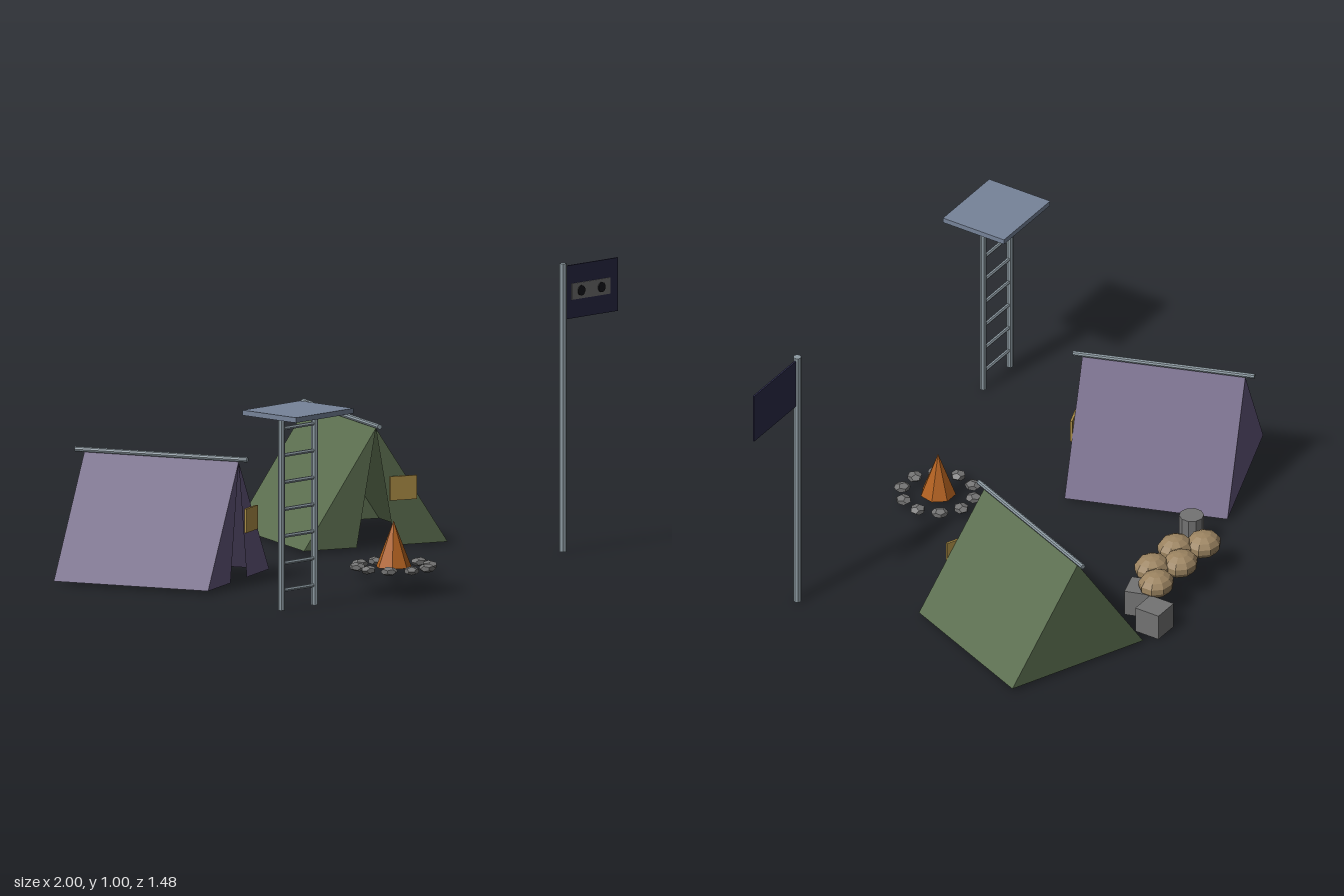
import * as THREE from 'three';

const mat = (name, color, extra = {}) => {
  const m = new THREE.MeshStandardMaterial({ color, flatShading: true, ...extra });
  m.name = name;
  return m;
};

export function createModel() {
  const model = new THREE.Group();
  model.name = 'campsite';
  const purple = mat('purple canvas', 0x62557a, { side: THREE.DoubleSide });
  const green = mat('green canvas', 0x5c6f50, { side: THREE.DoubleSide });
  const steel = mat('steel', 0x8d9aa2);
  const slate = mat('slate blue', 0x768399);
  const stone = mat('stone grey', 0x737373);
  const sand = mat('sand cloth', 0x9c8461);
  const yellow = mat('ochre', 0xab8d46);
  const orange = mat('flame orange', 0xb0601f);
  const navy = mat('navy cloth', 0x2b2a48);
  const black = mat('black', 0x17171c);

  const add = (parent, name, geo, material, x = 0, y = 0, z = 0) => {
    const mesh = new THREE.Mesh(geo, material);
    mesh.name = name;
    mesh.position.set(x, y, z);
    parent.add(mesh);
    return mesh;
  };
  const group = (name, x = 0, z = 0, turn = 0) => {
    const g = new THREE.Group();
    g.name = name;
    g.position.set(x, 0, z);
    g.rotation.y = turn;
    model.add(g);
    return g;
  };
  const box = (w, h, d) => new THREE.BoxGeometry(w, h, d);
  const rod = (r, h, sides = 8) => new THREE.CylinderGeometry(r, r, h, sides);

  // Flat panel through three or four corners
  const panel = (...pts) => {
    const order = pts.length === 4 ? [0, 1, 2, 0, 2, 3] : [0, 1, 2];
    const geo = new THREE.BufferGeometry();
    geo.setAttribute('position', new THREE.Float32BufferAttribute(order.flatMap((i) => pts[i]), 3));
    geo.computeVertexNormals();
    return geo;
  };

  // Ridge tents with a slit door and a patch on the front
  const W = 0.27, D = 0.287, Y0 = 0.01, Y1 = 0.42, GAP = 0.072;
  const tent = (name, canvas, x, z, turn) => {
    const g = group(name, x, z, turn);
    const front = [0, Y1, D], back = [0, Y1, -D];
    add(g, 'leftWall', panel([W, Y0, D], [W, Y0, -D], back, front), canvas);
    add(g, 'rightWall', panel([-W, Y0, -D], [-W, Y0, D], front, back), canvas);
    add(g, 'backWall', panel([W, Y0, -D], [-W, Y0, -D], back), canvas);
    add(g, 'leftFlap', panel([GAP, Y0, D], [W, Y0, D], front), canvas);
    add(g, 'rightFlap', panel([-W, Y0, D], [-GAP, Y0, D], front), canvas);
    add(g, 'ridgePole', rod(0.009, 0.64), steel, 0, 0.429, 0).rotation.x = Math.PI / 2;
    add(g, 'patch', box(0.1, 0.083, 0.008), yellow, 0.102, 0.208, D + 0.004);
  };
  tent('purpleTent', purple, -0.648, -0.179, 0.35);
  tent('greenTent', green, 0.436, -0.343, -0.4);

  // Lookout tower: platform on a ladder
  const tower = group('lookoutTower', -0.815, 0.615);
  add(tower, 'platform', box(0.29, 0.018, 0.25), slate, 0, 0.679, 0);
  for (const s of [-1, 1]) add(tower, 'ladderRail', rod(0.012, 0.67), steel, s * 0.084, 0.335, 0);
  for (let i = 0; i < 7; i++) {
    add(tower, 'rung', rod(0.007, 0.168, 6), steel, 0, 0.069 + i * 0.0935, 0).rotation.z = Math.PI / 2;
  }

  // Flag with a plate and two discs on its front
  const flag = group('flag', 0.725, 0.425);
  add(flag, 'flagPole', rod(0.014, 1), steel, 0, 0.5, 0);
  add(flag, 'cloth', box(0.262, 0.185, 0.006), navy, 0.144, 0.897, 0);
  add(flag, 'plate', box(0.192, 0.056, 0.004), stone, 0.136, 0.897, 0.004);
  for (const x of [0.085, 0.187]) {
    add(flag, 'disc', rod(0.018, 0.005, 10), black, x, 0.897, 0.007).rotation.x = Math.PI / 2;
  }

  // Campfire in a ring of uneven stones
  const fire = group('campfire', -0.062, 0.363);
  add(fire, 'flame', new THREE.ConeGeometry(0.062, 0.16, 7), orange, 0, 0.11, 0);
  for (let i = 0; i < 10; i++) {
    const a = (i / 10) * Math.PI * 2;
    const rock = add(fire, 'fireStone', new THREE.DodecahedronGeometry(0.03, 0), stone,
      Math.cos(a) * 0.127, 0.033, Math.sin(a) * 0.127);
    rock.scale.set(1, 0.52, 0.9);
    rock.rotation.y = i * 1.3;
  }

  // Sacks in two staggered rows
  const sacks = group('sacks');
  const sackAt = [[-0.19, -0.64], [-0.045, -0.64], [0.105, -0.64], [-0.117, -0.572], [0.028, -0.572]];
  sackAt.forEach(([x, z]) => {
    add(sacks, 'sack', new THREE.SphereGeometry(1, 9, 7), sand, x, 0.112, z).scale.set(0.067, 0.044, 0.06);
  });

  // Crates and barrel
  const supplies = group('supplies');
  add(supplies, 'crate', box(0.095, 0.095, 0.095), stone, 0.204, 0.0475, -0.697);
  add(supplies, 'crate', box(0.095, 0.095, 0.095), stone, 0.125, 0.0475, -0.592).rotation.y = 0.3;
  add(supplies, 'barrel', rod(0.043, 0.115, 10), stone, -0.315, 0.0575, -0.51);

  return model;
}
